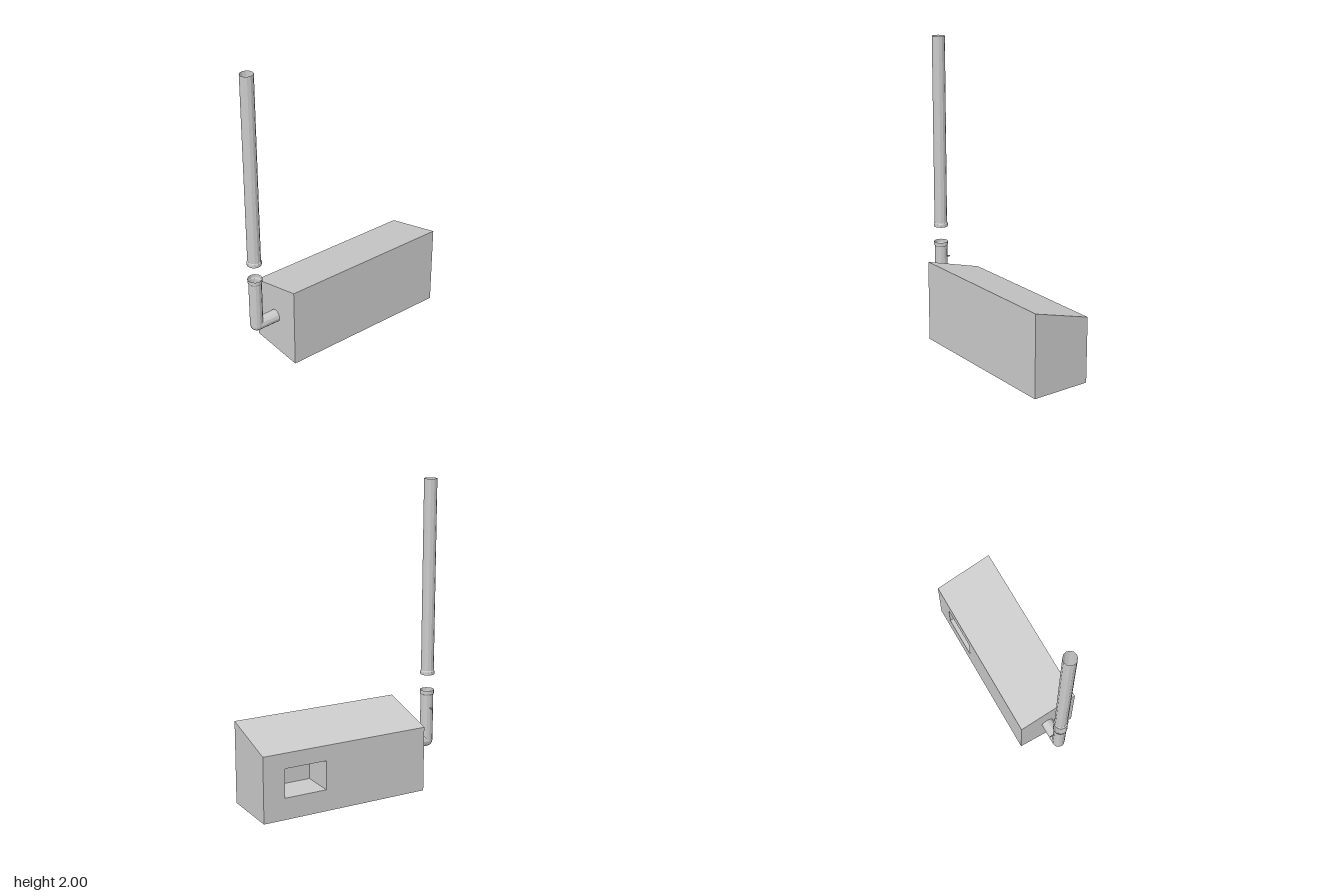
import * as THREE from 'three';
import { mergeGeometries } from 'three/addons/utils/BufferGeometryUtils.js';

const material = new THREE.MeshStandardMaterial({ color: 0xcccccc, flatShading: true });
const thin = new THREE.MeshStandardMaterial({ color: 0xcccccc, flatShading: true, side: THREE.DoubleSide });

function mesh(name, geometry, mat = material) {
  const m = new THREE.Mesh(geometry, mat);
  m.name = name;
  return m;
}

// Flat four-sided face, corners counter-clockwise seen from its front
function quad(a, b, c, d) {
  const g = new THREE.BufferGeometry();
  g.setAttribute('position', new THREE.Float32BufferAttribute([...a, ...b, ...c, ...d], 3));
  g.setAttribute('uv', new THREE.Float32BufferAttribute([0, 0, 1, 0, 1, 1, 0, 1], 2));
  g.setIndex([0, 1, 2, 0, 2, 3]);
  g.computeVertexNormals();
  return g;
}

// Round thin-walled pipe from [radius, height] points
const SIDES = 12;
const pipe = (points) => new THREE.LatheGeometry(points.map(([r, y]) => new THREE.Vector2(r, y)), SIDES);

// Cut the lower end of a pipe so it meets the other leg of the elbow
function mitre(geometry, sign) {
  const p = geometry.attributes.position;
  for (let i = 0; i < p.count; i++) {
    if (Math.abs(p.getY(i)) < 1e-6) p.setY(i, Math.max(0, sign * p.getX(i)));
  }
  return geometry;
}

export function createModel() {
  const model = new THREE.Group();
  model.name = 'stoveWithChimney';

  // Stove body: box with a roof sloping down to the back
  const x0 = -0.48, x1 = 0.67, zF = 0.2, zB = -0.2, hF = 0.545, hB = 0.432;
  const hx0 = 0.238, hx1 = 0.524, hy0 = 0.142, hy1 = 0.332, hz = 0.025;
  const back = new THREE.Shape([
    new THREE.Vector2(-x1, 0), new THREE.Vector2(-x0, 0),
    new THREE.Vector2(-x0, hB), new THREE.Vector2(-x1, hB),
  ]);
  back.holes.push(new THREE.Path([
    new THREE.Vector2(-hx1, hy0), new THREE.Vector2(-hx1, hy1),
    new THREE.Vector2(-hx0, hy1), new THREE.Vector2(-hx0, hy0),
  ]));
  const shell = [
    quad([x0, 0, zF], [x1, 0, zF], [x1, hF, zF], [x0, hF, zF]),
    quad([x1, 0, zF], [x1, 0, zB], [x1, hB, zB], [x1, hF, zF]),
    quad([x0, 0, zB], [x0, 0, zF], [x0, hF, zF], [x0, hB, zB]),
    quad([x0, hF, zF], [x1, hF, zF], [x1, hB, zB], [x0, hB, zB]),
    quad([x0, 0, zB], [x1, 0, zB], [x1, 0, zF], [x0, 0, zF]),
    new THREE.ShapeGeometry(back).rotateY(Math.PI).translate(0, 0, zB),
  ];
  model.add(mesh('body', mergeGeometries(shell)));

  // Fire opening recessed into the back
  const recess = [
    quad([hx0, hy0, hz], [hx1, hy0, hz], [hx1, hy0, zB], [hx0, hy0, zB]),
    quad([hx0, hy1, zB], [hx1, hy1, zB], [hx1, hy1, hz], [hx0, hy1, hz]),
    quad([hx0, hy0, hz], [hx0, hy0, zB], [hx0, hy1, zB], [hx0, hy1, hz]),
    quad([hx1, hy0, zB], [hx1, hy0, hz], [hx1, hy1, hz], [hx1, hy1, zB]),
    quad([hx1, hy0, hz], [hx0, hy0, hz], [hx0, hy1, hz], [hx1, hy1, hz]),
  ];
  model.add(mesh('fireOpening', mergeGeometries(recess), thin));

  // Flue: a horizontal leg, a rounded elbow and a rising leg with a collar
  const r = 0.042, rc = 0.047, px = -0.628, py = 0.264;
  const flue = new THREE.Group();
  flue.name = 'flue';
  flue.position.set(px, py, 0);
  const riser = mitre(pipe([[r, 0], [r, 0.318], [rc, 0.326], [rc, 0.349]]), 1);
  const outlet = mitre(pipe([[r, 0], [r, x0 - px]]), -1).rotateZ(-Math.PI / 2);
  const elbow = new THREE.SphereGeometry(r, 3, SIDES / 2, 0, Math.PI / 2).rotateX(Math.PI / 2);
  flue.add(mesh('riser', riser, thin), mesh('outlet', outlet, thin), mesh('elbow', elbow, thin));

  // Damper handle sticking out of the back of the riser
  const handle = new THREE.CylinderGeometry(0.005, 0.005, 0.03, 8).rotateX(Math.PI / 2);
  handle.translate(0, 0.231, -0.055);
  flue.add(mesh('damperHandle', handle));
  model.add(flue);

  // Separate upper chimney pipe with a collar at its foot
  const chimney = mesh('chimneyPipe', pipe([[rc, 0.72], [rc, 0.74], [r, 0.748], [r, 2]]), thin);
  chimney.position.x = px;
  model.add(chimney);

  return model;
}
